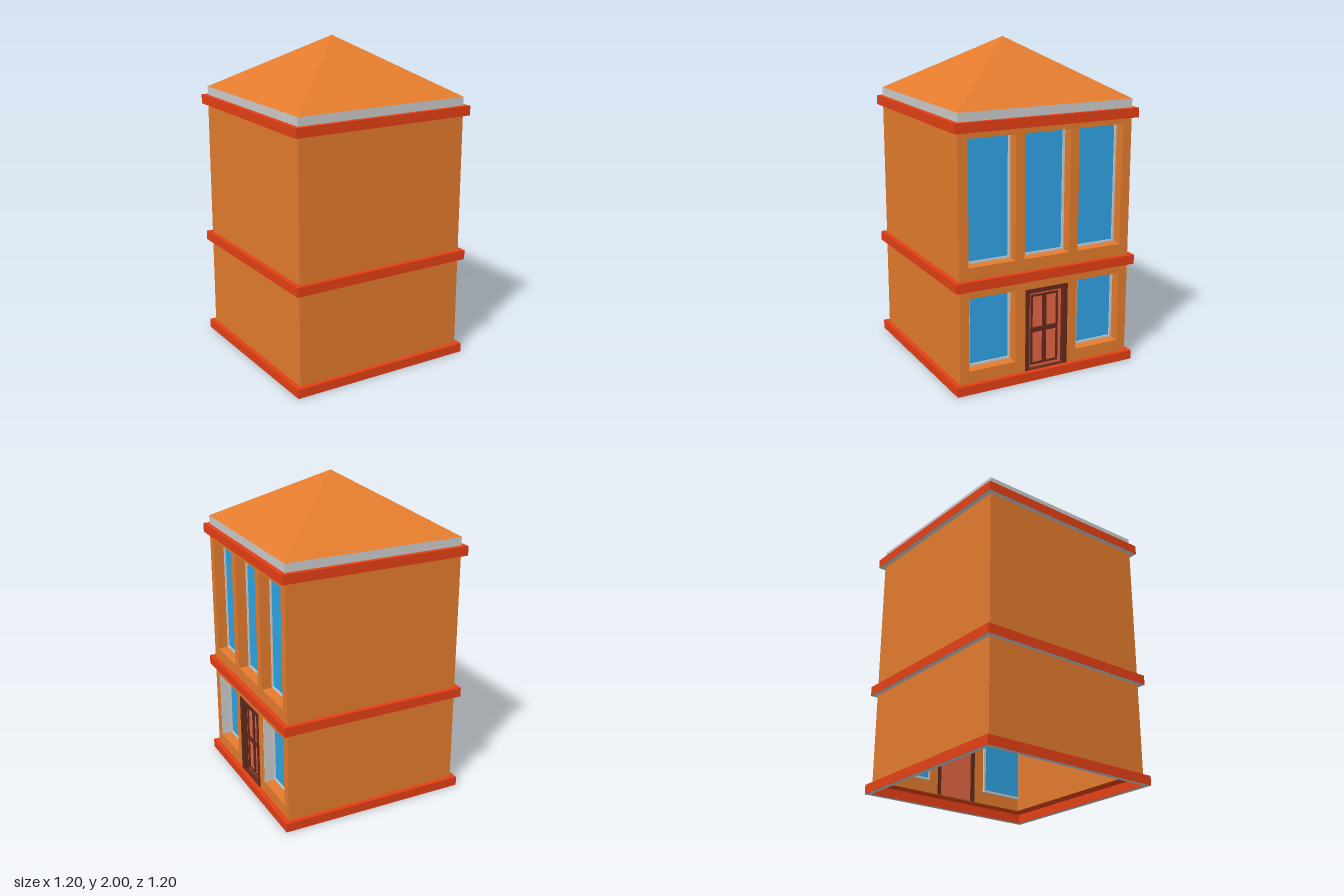
import * as THREE from 'three';

const mat = (color, extra = {}) => new THREE.MeshStandardMaterial({ color, flatShading: true, ...extra });
const both = { side: THREE.DoubleSide };

const HALF = 0.57;   // half width of the walls
const INNER = 0.5;   // half width of the interior
const BAND = 0.6;    // half width of the trim bands

export function createModel() {
  const house = new THREE.Group();
  house.name = 'house';
  const orange = mat(0xe37b2d), red = mat(0xe34015), redSheet = mat(0xe34015, both);
  const grey = mat(0xcccccc), glass = mat(0x2ea4e4, both);
  const doorRed = mat(0xe36644), darkWood = mat(0x64281b);

  const add = (parent, name, geometry, material) => {
    const mesh = new THREE.Mesh(geometry, material);
    mesh.name = name;
    parent.add(mesh);
    return mesh;
  };

  // Box given by its limits on each axis
  const block = (parent, name, [x0, x1], [y0, y1], [z0, z1], material) => {
    const g = new THREE.BoxGeometry(x1 - x0, y1 - y0, z1 - z0);
    g.translate((x0 + x1) / 2, (y0 + y1) / 2, (z0 + z1) / 2);
    return add(parent, name, g, material);
  };

  // Rectangle with rectangular holes; each is [left, right, bottom, top]
  const trace = (path, [l, r, b, t]) =>
    path.moveTo(l, b).lineTo(r, b).lineTo(r, t).lineTo(l, t).closePath();
  const panel = (outer, holes) => {
    const shape = trace(new THREE.Shape(), outer);
    holes.forEach(h => shape.holes.push(trace(new THREE.Path(), h)));
    return shape;
  };
  // Panel standing in the facade plane, between two x positions
  const upright = (shape, x0, x1) =>
    new THREE.ExtrudeGeometry(shape, { depth: x1 - x0, bevelEnabled: false })
      .translate(0, 0, x0).rotateY(Math.PI / 2);

  // Square ring lying flat
  const squareRing = (o, i) => panel([-o, o, -o, o], [[-i, i, -i, i]]);
  const ringBlock = (o, i, y0, y1) =>
    new THREE.ExtrudeGeometry(squareRing(o, i), { depth: y1 - y0, bevelEnabled: false })
      .rotateX(-Math.PI / 2).translate(0, y0, 0);

  // Trim bands: red ring, inner ledge and grey underside
  const bands = { baseBand: [0, 0.058], middleBand: [0.63, 0.69], topBand: [1.543, 1.602] };
  for (const [name, [y0, y1]] of Object.entries(bands)) {
    const band = new THREE.Group();
    band.name = name;
    add(band, 'ring', ringBlock(BAND, HALF, y0 + 0.001, y1), red);
    add(band, 'ledge', new THREE.ShapeGeometry(squareRing(HALF, INNER))
      .rotateX(-Math.PI / 2).translate(0, y1 - 0.002, 0), redSheet);
    add(band, 'underside', new THREE.ShapeGeometry(squareRing(BAND, HALF))
      .rotateX(Math.PI / 2).translate(0, y0, 0), grey);
    house.add(band);
  }

  // Storeys: three plain walls and a facade on +x with openings
  const side = 0.36;   // centre of the outer windows
  const winHalf = 0.15;
  const doorway = [-0.143, 0.143, 0.06, 0.573];
  const opening = (c, b, t) => [c - winHalf, c + winHalf, b, t];
  const storeys = [
    { name: 'lowerStorey', y: [0.058, 0.631], door: [doorway],
      windows: [-side, side].map(c => opening(c, 0.133, 0.578)) },
    { name: 'upperStorey', y: [0.69, 1.543], door: [],
      windows: [-side, 0, side].map(c => opening(c, 0.764, 1.507)) },
  ];
  for (const { name, y, door, windows } of storeys) {
    const storey = new THREE.Group();
    storey.name = name;
    house.add(storey);
    block(storey, 'frontWall', [-INNER, INNER], y, [INNER, HALF], orange);
    block(storey, 'backWall', [-INNER, INNER], y, [-HALF, -INNER], orange);
    block(storey, 'rightWall', [-HALF, -INNER], y, [-HALF, HALF], orange);
    add(storey, 'facade',
      upright(panel([-HALF, HALF, ...y], [...door, ...windows]), INNER, HALF), orange);

    // Recessed windows: grey frame around a glass pane
    for (const w of windows) {
      const [l, r, b, t] = w;
      const f = 0.014;
      const win = new THREE.Group();
      win.name = 'window';
      add(win, 'frame', upright(panel(w, [[l + f, r - f, b + f, t - f]]), 0.488, 0.505), grey);
      block(win, 'pane', [0.489, 0.497], [b + f, t - f], [-r + f, -l - f], glass);
      // Grey reveal on one jamb of the lower windows
      if (door.length) block(win, 'jamb', [0.5, 0.569], [b, t], [-l - 0.004, -l], grey);
      storey.add(win);
    }
  }

  // Door: dark casing, red leaf, dark glazing-style bars
  const door = new THREE.Group();
  door.name = 'door';
  house.add(door);
  add(door, 'casing', upright(panel(doorway, [[-0.117, 0.117, 0.061, 0.547]]), 0.5, 0.575), darkWood);
  block(door, 'leaf', [0.51, 0.54], [0.06, 0.547], [-0.117, 0.117], doorRed);
  const panels = [];
  for (const [l, r] of [[-0.081, -0.013], [0.013, 0.081]])
    for (const [b, t] of [[0.092, 0.288], [0.317, 0.513]]) panels.push([l, r, b, t]);
  add(door, 'bars', upright(panel([-0.093, 0.093, 0.08, 0.525], panels), 0.535, 0.548), darkWood);

  // Roof: grey eaves course and a four-sided pyramid
  const roof = new THREE.Group();
  roof.name = 'roof';
  house.add(roof);
  add(roof, 'eaves', ringBlock(HALF, INNER, 1.602, 1.655), grey);
  add(roof, 'pyramid', new THREE.ConeGeometry(HALF * Math.SQRT2, 0.345, 4, 1, true)
    .rotateY(Math.PI / 4).translate(0, 1.8275, 0), mat(0xe37b2d, both));

  return house;
}
